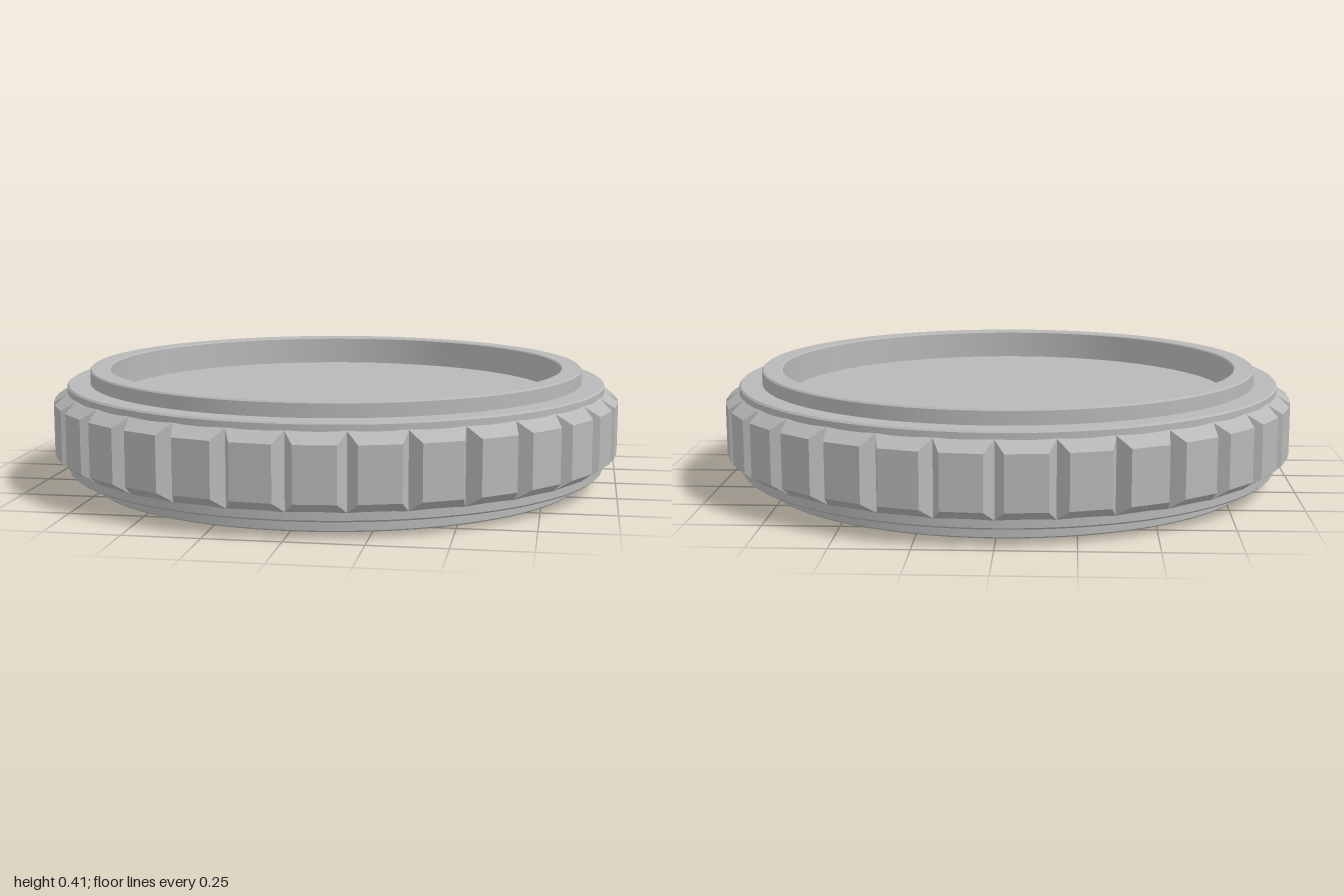
import * as THREE from 'three';
import { toCreasedNormals } from 'three/addons/utils/BufferGeometryUtils.js';

const TEETH = 32;

// Tapered grip block: wide base on the ring, narrower flat face outside
function toothGeometry() {
  const base = { z: 0.948, halfW: 0.094, y0: 0.08, y1: 0.33 };
  const face = { z: 0.998, halfW: 0.067, y0: 0.115, y1: 0.295 };
  const geometry = new THREE.BoxGeometry(2, 2, 2);
  const p = geometry.attributes.position;
  for (let i = 0; i < p.count; i++) {
    const s = p.getZ(i) > 0 ? face : base;
    p.setXYZ(i, Math.sign(p.getX(i)) * s.halfW, p.getY(i) > 0 ? s.y1 : s.y0, s.z);
  }
  geometry.computeVertexNormals();
  return geometry;
}

export function createModel() {
  const model = new THREE.Group();
  model.name = 'ridgedDisc';
  const grey = new THREE.MeshStandardMaterial({ color: 0xb8b8b8 });
  grey.name = 'grey';

  // Stepped disc with a shallow recess on both sides
  const half = [
    [0, 0.1], [0.788, 0.1], [0.8, 0.112], [0.8, 0.004], [0.804, 0],
    [0.867, 0], [0.872, 0.005], [0.872, 0.05], [0.946, 0.05], [0.952, 0.056],
  ];
  const mirrored = half.map(([r, y]) => [r, 0.405 - y]).reverse();
  const profile = [...half, ...mirrored].map(([r, y]) => new THREE.Vector2(r, y));
  const disc = new THREE.Mesh(
    toCreasedNormals(new THREE.LatheGeometry(profile, 128), Math.PI / 6), grey);
  disc.name = 'steppedDisc';
  model.add(disc);

  // Grip teeth around the rim, with a notch on each axis
  const grip = new THREE.Group();
  grip.name = 'gripTeeth';
  const geometry = toothGeometry();
  for (let i = 0; i < TEETH; i++) {
    const tooth = new THREE.Mesh(geometry, grey);
    tooth.name = 'gripTooth';
    tooth.rotation.y = ((i + 0.5) / TEETH) * Math.PI * 2;
    grip.add(tooth);
  }
  model.add(grip);
  return model;
}
